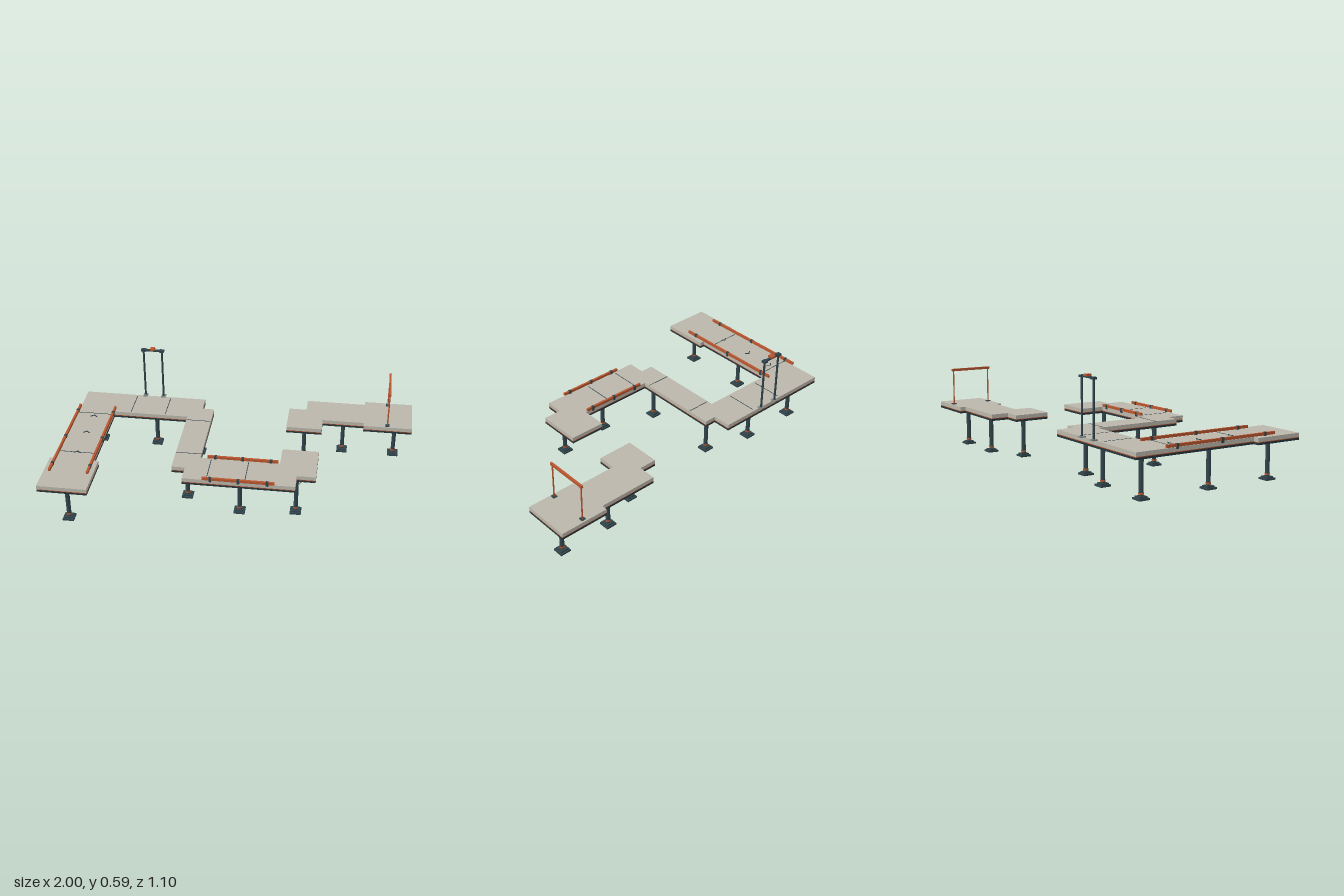
import * as THREE from 'three';

const mat = (name, color) => {
  const m = new THREE.MeshStandardMaterial({ color });
  m.name = name;
  return m;
};

export function createModel() {
  const concrete = mat('concrete', 0xbab6aa);
  const steel = mat('dark steel', 0x30444b);
  const under = mat('underside steel', 0x26353b);
  const rust = mat('rust orange', 0xb9562f);
  const grey = mat('plate grey', 0x7f8785);

  const root = new THREE.Group();
  root.name = 'walkwayPlatforms';

  const group = (name, parent = root) => {
    const g = new THREE.Group();
    g.name = name;
    parent.add(g);
    return g;
  };
  const add = (parent, name, geo, m, x, y, z) => {
    const mesh = new THREE.Mesh(geo, m);
    mesh.name = name;
    mesh.position.set(x, y, z);
    parent.add(mesh);
    return mesh;
  };
  // box given by centre in x and z, and by bottom and top heights
  const box = (parent, name, m, x, z, w, d, y0, y1) =>
    add(parent, name, new THREE.BoxGeometry(w, y1 - y0, d), m, x, (y0 + y1) / 2, z);

  // Decks: layered slabs extruded from plan outlines (x, z)
  const longDeck = [
    [-1, 0.55], [-0.725, 0.55], [-0.725, 0.275], [-0.755, 0.275], [-0.755, -0.243], [-0.315, -0.243],
    [-0.315, 0.275], [-0.24, 0.275], [-0.24, 0.377], [0.377, 0.377], [0.377, 0.275], [0.48, 0.275],
    [0.48, 0.025], [0.275, 0.025], [0.275, 0.168], [-0.17, 0.168], [-0.17, -0.345], [-0.24, -0.345],
    [-0.24, -0.45], [-0.965, -0.45], [-0.965, 0.275], [-1, 0.275],
  ];
  const shortDeck = [
    [0.275, -0.21], [0.48, -0.21], [0.48, -0.312], [0.72, -0.312], [0.72, -0.28], [1, -0.28],
    [1, -0.55], [0.72, -0.55], [0.72, -0.517], [0.377, -0.517], [0.377, -0.415], [0.275, -0.415],
  ];
  const layers = [
    ['deckFrame', under, 0.225, 0.236],
    ['deckTrim', rust, 0.236, 0.24],
    ['deckSlab', concrete, 0.24, 0.262],
  ];
  [['longDeck', longDeck], ['shortDeck', shortDeck]].forEach(([name, pts]) => {
    const g = group(name);
    const shape = new THREE.Shape(pts.map(([x, z]) => new THREE.Vector2(x, -z)));
    layers.forEach(([part, m, y0, y1]) => {
      const geo = new THREE.ExtrudeGeometry(shape, { depth: y1 - y0, bevelEnabled: false });
      geo.rotateX(-Math.PI / 2);
      add(g, part, geo, m, 0, y0, 0);
    });
  });

  // Support columns with stepped feet, collar, cap and a diagonal brace
  const shaft = new THREE.CylinderGeometry(0.0125, 0.0125, 0.196, 8).rotateY(Math.PI / 8);
  const collar = new THREE.CylinderGeometry(0.0145, 0.0145, 0.009, 8).rotateY(Math.PI / 8);
  [
    [-0.86, 0.465], [-0.86, 0.07], [-0.86, -0.345], [-0.52, -0.345], [-0.245, -0.275], [-0.245, 0.175],
    [0.065, 0.28], [0.375, 0.245], [0.375, -0.315], [0.6, -0.41], [0.905, -0.41],
  ].forEach(([x, z]) => {
    const g = group('column');
    g.position.set(x, 0, z);
    box(g, 'foot', steel, 0, 0, 0.062, 0.062, 0, 0.01);
    box(g, 'footStep', steel, 0, 0, 0.044, 0.044, 0.01, 0.018);
    add(g, 'shaft', shaft, steel, 0, 0.115, 0);
    add(g, 'collar', collar, rust, 0, 0.03, 0);
    box(g, 'cap', grey, 0.005, 0, 0.05, 0.032, 0.213, 0.221);
    box(g, 'capBlock', steel, 0, 0, 0.03, 0.026, 0.221, 0.225);
    const brace = add(g, 'brace', new THREE.BoxGeometry(0.04, 0.005, 0.006), grey, 0.022, 0.2, 0);
    brace.rotation.z = 0.8;
  });

  // Low side rails, each on three small brackets
  const rail = (cx, cz, length, alongX, offsets) => {
    const g = group('sideRail');
    const w = 0.012;
    box(g, 'railBar', rust, cx, cz, alongX ? length : w, alongX ? w : length, 0.265, 0.28);
    offsets.forEach((o) =>
      box(g, 'railBracket', steel, alongX ? o : cx, alongX ? cz : o, 0.014, 0.014, 0.255, 0.2815));
  };
  [-0.967, -0.755].forEach((x) => rail(x, 0.068, 0.685, false, [-0.21, 0.068, 0.345]));
  [0.168, 0.377].forEach((z) => rail(0.068, z, 0.395, true, [-0.085, 0.068, 0.225]));

  // Thin joints between deck panels
  const joints = group('deckJoints');
  const joint = (x, z, w, d) => box(joints, 'joint', steel, x, z, w, d, 0.26, 0.263);
  [-0.21, 0.205].forEach((z) => joint(-0.86, z, 0.2, 0.004));
  [-0.21, 0.133].forEach((z) => joint(-0.2425, z, 0.143, 0.004));
  [-0.655, -0.45].forEach((x) => joint(x, -0.346, 0.004, 0.18));
  [-0.107, 0.102].forEach((x) => joint(x, 0.272, 0.004, 0.18));

  // Direction chevrons on the left-hand walkway
  [-0.18, -0.003, 0.204].forEach((z) => {
    const g = group('chevron');
    [-1, 1].forEach((s) => {
      const arm = box(g, 'chevronArm', steel, -0.862 + s * 0.009, z, 0.026, 0.006, 0.26, 0.2645);
      arm.rotation.y = -s * 0.7;
    });
  });

  // Tall gate at the back edge
  const gate = group('gate');
  const post = new THREE.CylinderGeometry(0.006, 0.006, 0.31, 8);
  [-0.607, -0.497].forEach((x) => {
    box(gate, 'gateFoot', grey, x, -0.455, 0.026, 0.032, 0.262, 0.268);
    add(gate, 'gatePost', post, steel, x, 0.417, -0.455);
    box(gate, 'gateCorner', steel, x, -0.455, 0.026, 0.024, 0.568, 0.58);
  });
  box(gate, 'gateBeam', steel, -0.552, -0.455, 0.11, 0.014, 0.57, 0.58);
  box(gate, 'gateLamp', rust, -0.552, -0.455, 0.026, 0.03, 0.579, 0.59);

  // Arch across the short deck
  const arch = group('arch');
  const archPost = new THREE.CylinderGeometry(0.004, 0.004, 0.205, 8);
  [-0.299, -0.527].forEach((z) => {
    box(arch, 'archFoot', steel, 0.857, z, 0.024, 0.024, 0.262, 0.267);
    add(arch, 'archPost', archPost, rust, 0.857, 0.366, z);
  });
  box(arch, 'archBar', rust, 0.857, -0.413, 0.012, 0.248, 0.463, 0.477);

  return root;
}
